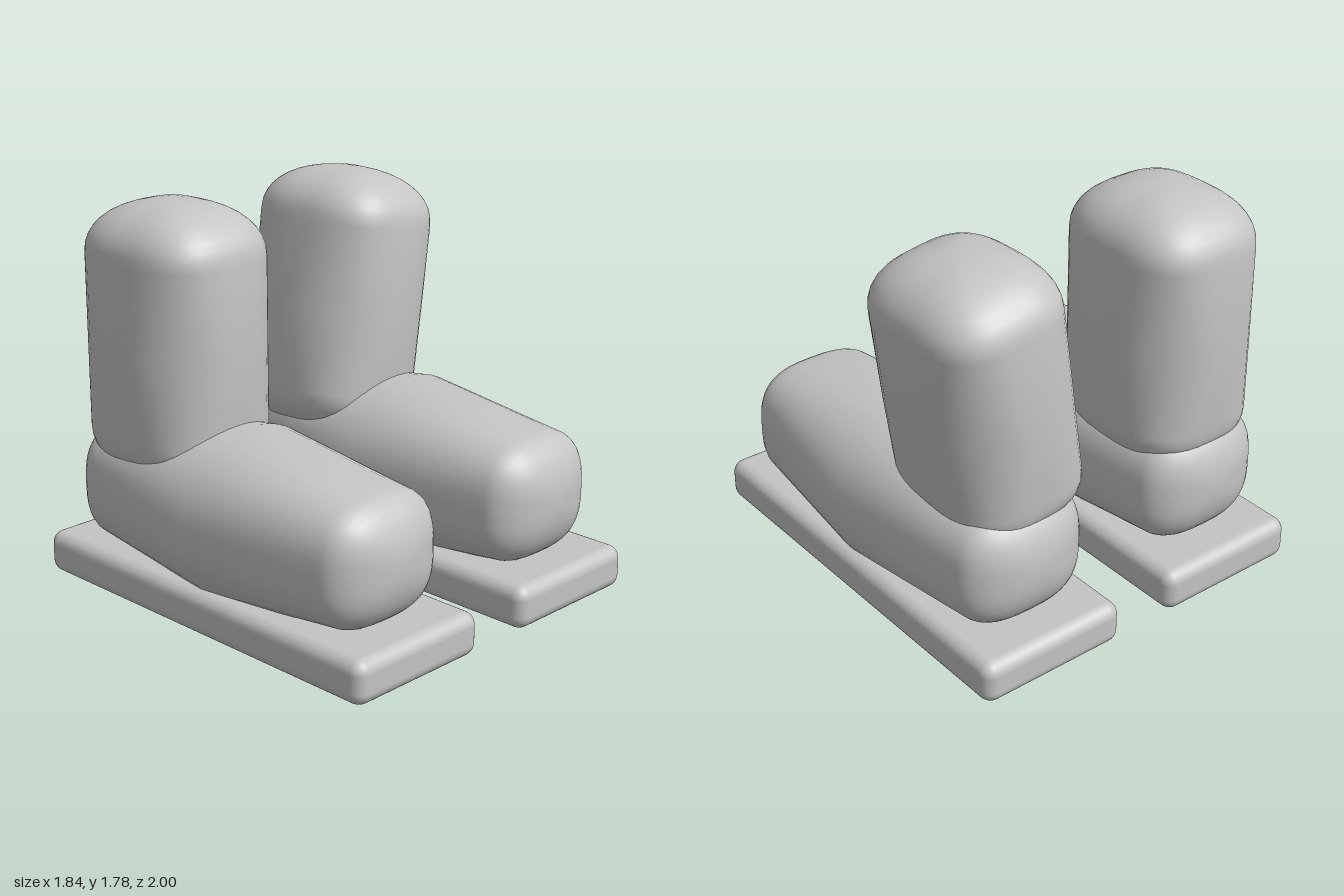
import * as THREE from 'three';
import { RoundedBoxGeometry } from 'three/addons/geometries/RoundedBoxGeometry.js';
import { mergeVertices } from 'three/addons/utils/BufferGeometryUtils.js';

const AROUND = 48, CAP_STEPS = 10;

// Signed power, used for superellipse outlines
const spow = (v, p) => Math.sign(v) * Math.pow(Math.abs(v), p);

// Swollen capsule along y: an oval middle that tapers to softly squared, domed ends
function bulgedCapsule({ half, cap, mid, end }) {
  const rings = [];
  const upper = [];
  for (let i = 0; i <= CAP_STEPS; i++) {
    const a = (i / CAP_STEPS) * Math.PI / 2;
    const s = i === CAP_STEPS ? 0 : Math.pow(Math.cos(a), 0.93);
    upper.push({ y: half - cap + cap * Math.pow(Math.sin(a), 0.93), w: end[0] * s, d: end[1] * s, n: 2.9 });
  }
  for (const r of [...upper].reverse()) rings.push({ ...r, y: -r.y });
  rings.push({ y: 0, w: mid[0], d: mid[1], n: 2.05 });
  rings.push(...upper);

  const positions = [], index = [];
  rings.forEach(({ y, w, d, n }, r) => {
    for (let j = 0; j < AROUND; j++) {
      const u = (j / AROUND) * Math.PI * 2;
      positions.push(w * spow(Math.cos(u), 2 / n), y, d * spow(Math.sin(u), 2 / n));
      if (r === rings.length - 1) continue;
      const a = r * AROUND + j, b = r * AROUND + (j + 1) % AROUND;
      index.push(a, a + AROUND, b, b, a + AROUND, b + AROUND);
    }
  });
  let geometry = new THREE.BufferGeometry();
  geometry.setAttribute('position', new THREE.Float32BufferAttribute(positions, 3));
  geometry.setIndex(index);
  geometry = mergeVertices(geometry, 1e-5);
  geometry.computeVertexNormals();
  return geometry;
}

export function createModel() {
  const model = new THREE.Group();
  model.name = 'pairOfBoots';
  const grey = new THREE.MeshStandardMaterial({ color: 0xc4c4c4 });
  grey.name = 'light grey';

  const soleGeometry = new RoundedBoxGeometry(0.73, 0.2, 2, 4, 0.06);
  const footGeometry = bulgedCapsule({ half: 0.9, cap: 0.2, mid: [0.42, 0.39], end: [0.32, 0.285] });
  footGeometry.rotateX(Math.PI / 2);
  const legGeometry = bulgedCapsule({ half: 0.635, cap: 0.24, mid: [0.367, 0.424], end: [0.33, 0.387] });

  for (const side of [-1, 1]) {
    const boot = new THREE.Group();
    boot.name = side > 0 ? 'leftBoot' : 'rightBoot';
    boot.position.x = side * 0.5;

    const add = (name, geometry, y, z) => {
      const mesh = new THREE.Mesh(geometry, grey);
      mesh.name = name;
      mesh.position.set(0, y, z);
      boot.add(mesh);
      return mesh;
    };
    add('sole', soleGeometry, 0.1, 0);
    add('foot', footGeometry, 0.47, 0);
    const leg = add('leg', legGeometry, 1.15, -0.468);
    // Only the left leg leans outward
    if (side > 0) leg.rotation.z = -0.14;

    model.add(boot);
  }
  return model;
}
